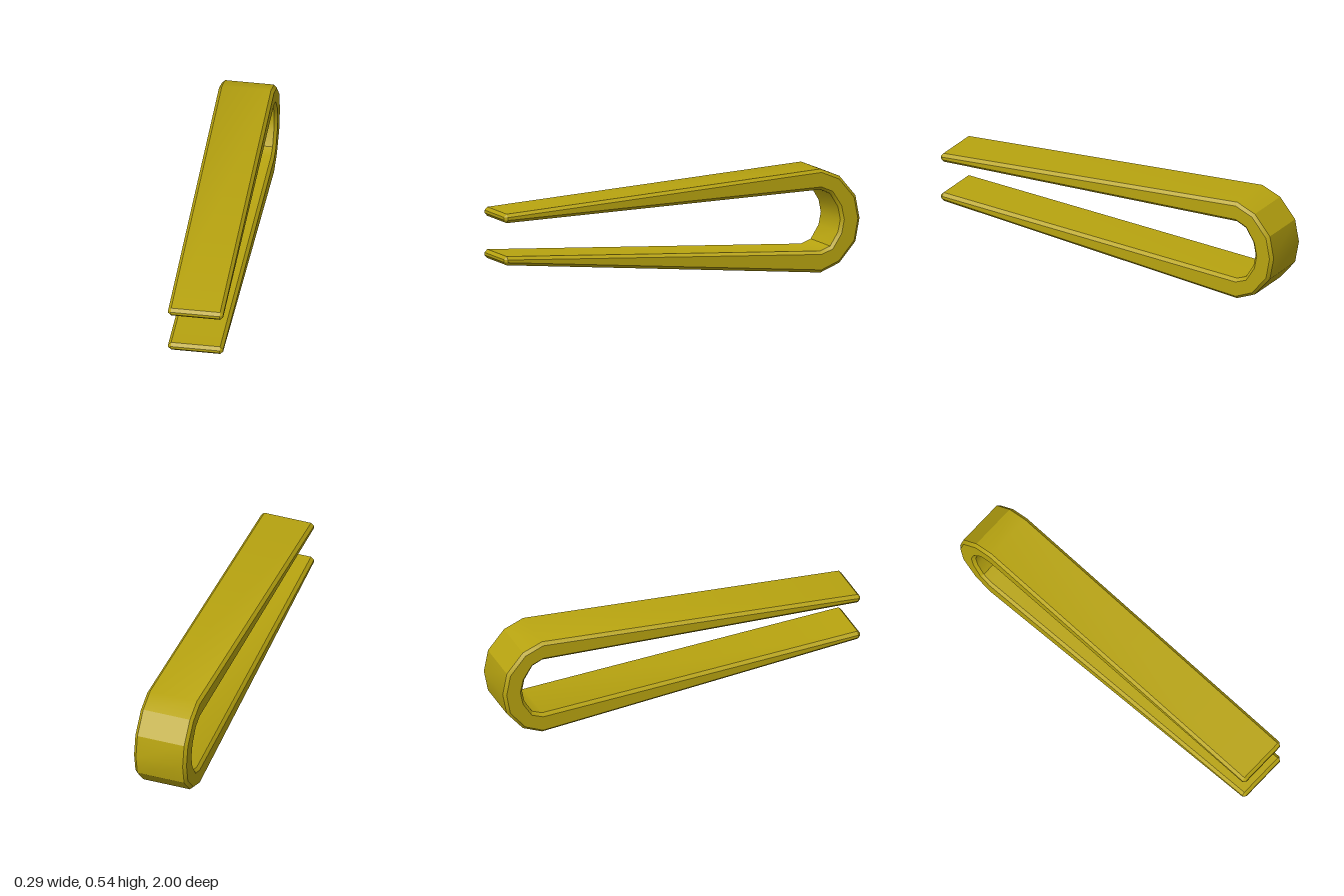
import * as THREE from 'three';
import { toCreasedNormals } from 'three/addons/utils/BufferGeometryUtils.js';

const HALF = 0.144; // half the width of the strip
const C = 0.016;    // chamfer

// Stations along the strip, upper tip to lower tip: outer [z, y], inner [z, y]
const STATIONS = [
  [0.985, 0.42, 0.985, 0.373],
  [-0.78, 0.543, -0.78, 0.435],
  [-0.887, 0.5, -0.835, 0.41],
  [-0.977, 0.393, -0.879, 0.338],
  [-1, 0.272, -0.892, 0.272],
  [-0.977, 0.152, -0.879, 0.207],
  [-0.887, 0.045, -0.835, 0.135],
  [-0.78, 0, -0.78, 0.113],
  [0.985, 0.152, 0.985, 0.198],
];

// Chamfered rectangle between an outer and an inner point
function section([oz, oy, iz, iy]) {
  const outer = new THREE.Vector3(0, oy, oz);
  const inner = new THREE.Vector3(0, iy, iz);
  const step = outer.clone().sub(inner).setLength(C);
  const right = [
    outer.clone().setX(HALF - C),
    outer.clone().sub(step).setX(HALF),
    inner.clone().add(step).setX(HALF),
    inner.clone().setX(HALF - C),
  ];
  const left = right.map((p) => new THREE.Vector3(-p.x, p.y, p.z)).reverse();
  return [...right, ...left];
}

// Small end face: the tip section drawn in by the chamfer on every side
function tipSection(ring) {
  const tip = ring.map((p) => p.clone().setX(Math.sign(p.x) * (HALF - C)).setZ(1));
  for (const [edge, side] of [[0, 1], [3, 2], [4, 5], [7, 6]]) tip[edge].y = tip[side].y;
  return tip;
}

function stripGeometry() {
  const rings = STATIONS.map(section);
  rings.unshift(tipSection(rings[0]));
  rings.push(tipSection(rings[rings.length - 1]));

  const positions = [];
  const tri = (a, b, c) => {
    if (a.distanceTo(b) < 1e-6 || b.distanceTo(c) < 1e-6 || c.distanceTo(a) < 1e-6) return;
    for (const p of [a, b, c]) positions.push(p.x, p.y, p.z);
  };

  // Skin between neighbouring sections
  for (let s = 0; s < rings.length - 1; s++) {
    const r = rings[s], n = rings[s + 1];
    for (let i = 0; i < 8; i++) {
      const j = (i + 1) % 8;
      tri(r[i], r[j], n[j]);
      tri(r[i], n[j], n[i]);
    }
  }

  // End faces of the two tips
  const first = rings[0], last = rings[rings.length - 1];
  tri(first[1], first[6], first[5]);
  tri(first[1], first[5], first[2]);
  tri(last[1], last[2], last[5]);
  tri(last[1], last[5], last[6]);

  const geometry = new THREE.BufferGeometry();
  geometry.setAttribute('position', new THREE.Float32BufferAttribute(positions, 3));
  return toCreasedNormals(geometry, 0.47);
}

export function createModel() {
  const group = new THREE.Group();
  group.name = 'tweezers';
  const material = new THREE.MeshStandardMaterial({ color: 0xb8a410 });
  const strip = new THREE.Mesh(stripGeometry(), material);
  strip.name = 'bentStrip';
  group.add(strip);
  return group;
}
